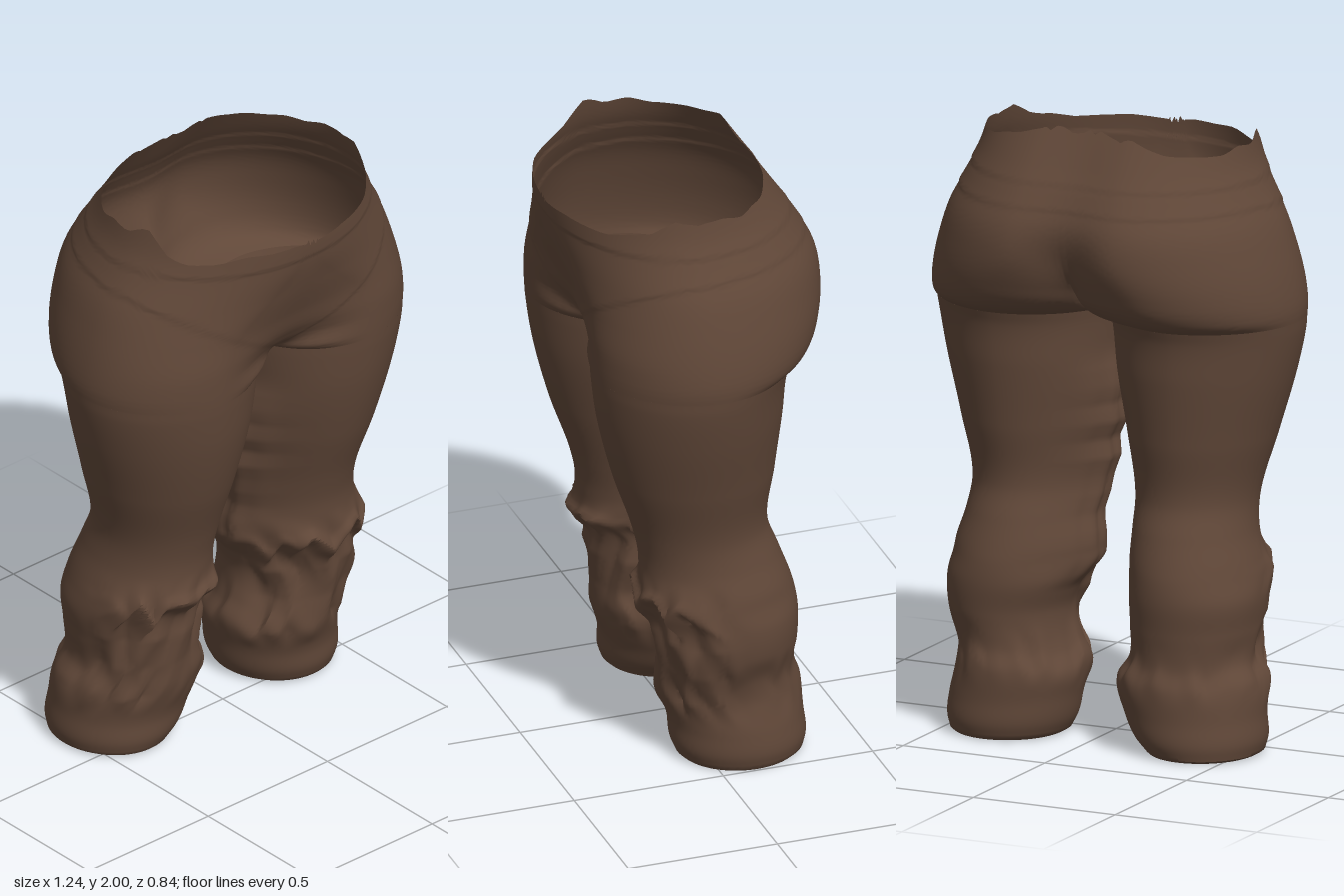
import * as THREE from 'three';
import { toCreasedNormals } from 'three/addons/utils/BufferGeometryUtils.js';

// Seeded ragged noise: straight zigzags between hashed values in -1..1, periodic over n steps
const hash = (i, seed) => {
  const s = Math.sin(i * 127.1 + seed * 311.7) * 43758.5453;
  return (s - Math.floor(s)) * 2 - 1;
};
const ragged = (t, n, seed) => {
  const f = t * n, i = Math.floor(f), k = f - i;
  return hash(((i % n) + n) % n, seed) * (1 - k) + hash((((i + 1) % n) + n) % n, seed) * k;
};
const smooth = THREE.MathUtils.smoothstep, lerp = THREE.MathUtils.lerp;

// Smooth interpolation through table rows whose first column is the height
function table(rows) {
  const lo = rows[0][0], hi = rows[rows.length - 1][0];
  const curve = new THREE.CubicInterpolant(
    rows.map(r => r[0]), new Float32Array(rows.flatMap(r => r.slice(1))), rows[0].length - 1);
  return y => Array.from(curve.evaluate(THREE.MathUtils.clamp(y, lo, hi)));
}

// Half outline seen from above: inner front, front bulge, outer side, back bulge, inner back.
// "join" turns the inner quarters from a closed leg into a soft bridge to the middle.
function section(p, t, y) {
  const q = t * 4, front = q < 2;
  const cx = front ? p.cxf : p.cxb, z = front ? p.zf : p.zb, zc = front ? p.zcf : p.zcb;
  if (q >= 1 && q <= 3) {
    const a = (q - 1) * Math.PI / 2;
    const bend = 1 + .12 * smooth(y, .6, 1.3);
    return [cx + (p.xo - cx) * Math.sin(a) ** bend, p.cz + Math.abs(z - p.cz) * Math.cos(a)];
  }
  const k = front ? 1 - q : q - 3, b = k * Math.PI / 2;
  const join = front ? p.joinFront : p.joinBack;
  const kx = lerp(Math.sin(b), k, join), kz = lerp(Math.cos(b), Math.cos(b) ** 2, join);
  return [cx + (p.xi - cx) * kx, zc + (z - zc) * kz];
}
const oval = (xo, xi, zf, zb) => {
  const cx = (xo + xi) / 2, cz = (zf + zb) / 2;
  return { xo, xi, cz, cxf: cx, cxb: cx, zf, zb, zcf: cz, zcb: cz, joinFront: 0, joinBack: 0 };
};

// Closed loft: point(u, j) gives a corner of ring j
function loft(point, nu, rings) {
  const pos = [], index = [];
  for (let j = 0; j < rings; j++) for (let i = 0; i < nu; i++) pos.push(...point(i / nu, j));
  for (let j = 0; j < rings - 1; j++) for (let i = 0; i < nu; i++) {
    const a = j * nu + i, b = j * nu + (i + 1) % nu;
    index.push(a, b, b + nu, a, b + nu, a + nu);
  }
  const g = new THREE.BufferGeometry();
  g.setAttribute('position', new THREE.Float32BufferAttribute(pos, 3));
  g.setIndex(index);
  return g;
}

const CROTCH = 1.38;

// Hips: height, outer x, front z, front centre z, back z, back centre z, bulge x front and back
const hipRow = table([
  [1.38, .618, .36, .04, -.28, .04, .309, .309],
  [1.4, .62, .361, .17, -.325, -.12, .309, .3],
  [1.43, .62, .362, .25, -.36, -.22, .308, .28],
  [1.5, .61, .363, .315, -.395, -.31, .3, .25],
  [1.6, .585, .363, .352, -.418, -.365, .25, .2],
  [1.7, .55, .383, .385, -.405, -.38, .14, .18],
  [1.8, .495, .408, .408, -.35, -.338, .05, .16],
  [1.88, .455, .415, .415, -.295, -.285, .03, .15],
  [2, .425, .41, .41, -.215, -.21, .03, .14],
]);

function hips() {
  const rings = 80;
  return loft((u, j) => {
    const side = u <= .5 ? 1 : -1, t = u <= .5 ? u * 2 : 2 - u * 2;
    // Torn waist edge, higher at the sides and back
    const spike = .03 * Math.max(0, 1 - Math.abs(t - .46) / .03);
    const edge = Math.min(2, 1.885 + .05 * smooth(t, .4, .48) + .05 * smooth(t, .62, .8) + spike
      + .013 * ragged(u, 60, 3));
    const y = CROTCH + (edge - CROTCH) * j / (rings - 1);
    const [xo, zf, zcf, zb, zcb, cxf, cxb] = hipRow(y);
    let [x, z] = section({
      xo, xi: 0, cz: .04, cxf, zf, zcf, cxb, zb, zcb,
      joinFront: smooth(y, CROTCH, 1.47), joinBack: smooth(y, CROTCH, 1.66),
    }, t, y);
    // Raised front panel and waistband
    const line = z > 0 ? Math.min(1.75, 1.43 + .6 * x) : 1.75;
    const grow = 1 + .01 * smooth(y, line, line + .012) + .01 * smooth(y, 1.825, 1.835);
    return [side * x * grow, y, z * grow];
  }, 200, rings);
}

// Legs: height, front z, back z, then outer and inner x of the right and the left leg
const legRow = table([
  [.01, .085, -.325, .56, .19, .5, .12],
  [.05, .1, -.335, .57, .15, .51, .1],
  [.12, .105, -.33, .565, .11, .505, .085],
  [.23, .135, -.322, .555, .075, .485, .07],
  [.29, .142, -.298, .52, .112, .49, .1],
  [.4, .15, -.3, .525, .115, .525, .12],
  [.5, .165, -.305, .535, .11, .53, .09],
  [.57, .228, -.295, .525, .1, .52, .085],
  [.61, .207, -.283, .512, .1, .512, .085],
  [.7, .2, -.25, .487, .1, .487, .095],
  [.8, .22, -.215, .48, .095, .48, .095],
  [1, .288, -.235, .53, .06, .53, .06],
  [1.2, .338, -.257, .585, .02, .585, .02],
  [1.34, .357, -.268, .614, .004, .614, .004],
  [1.38, .36, -.28, .618, 0, .618, 0],
]);

// Inside of the cuff down to the foot hole: height, share of the full outline
const cuffInside = [[.56, .97], [.46, .65], [.32, .2], [.12, 0], [.015, 0], [0, .2], [0, .85]];
const hole = oval(.445, .235, .005, -.21);

function leg(side) {
  const left = side > 0, outer = 130, n = cuffInside.length;
  return loft((u, j) => {
    const t = left ? u : 1 - u;
    const inside = j < n;
    const k = inside ? cuffInside[j][1] : 1;
    const y = inside ? cuffInside[j][0] : .01 + (CROTCH - .01) * (j - n) / (outer - 1);
    // Hem and cuff rim zigzag along the front, only the cuff rim at the back
    const front = smooth(Math.sin(t * Math.PI * 2), -.15, .4);
    const torn = smooth(y, .14, .24) * lerp(1 - smooth(y, .3, .42), 1 - smooth(y, .56, .68), front);
    const shift = torn * ragged(t, 34, left ? 11 : 17) * (.022 + .03 * front);
    const [zf, zb, xoR, xiR, xoL, xiL] = legRow(y + shift);
    const p = left ? oval(xoL, xiL, zf, zb) : oval(xoR, xiR, zf, zb);
    let [x, z] = section(p, t, y);
    // Crumpled cloth below the hem
    const step = Math.floor(y * 9);
    const fold = lerp(ragged(t + y * .25, 26, step), ragged(t + y * .25, 26, step + 1), y * 9 - step);
    const g = 1 + torn * (.012 + .065 * front) * fold;
    x = p.cxf + (x - p.cxf) * g;
    z = p.cz + (z - p.cz) * g;
    // Ragged flap on the inner side of the left leg
    if (left) {
      const d = Math.min(t, 1 - t) / .09;
      const zone = smooth(y, .47, .58) * (1 - smooth(y, 1.02, 1.27));
      x -= Math.exp(-d * d) * zone * (.066 + .022 * ragged(y, 17, 5) + .012 * ragged(t, 40, 8));
    }
    const [hx, hz] = section(hole, t, 0);
    return [side * (hx + (x - hx) * k), y, hz + (z - hz) * k];
  }, 128, outer + n);
}

export function createModel() {
  const model = new THREE.Group();
  model.name = 'tornTrousers';
  const cloth = new THREE.MeshStandardMaterial({ color: 0x604738, side: THREE.DoubleSide });
  cloth.name = 'brownCloth';
  const add = (name, geometry) => {
    const mesh = new THREE.Mesh(toCreasedNormals(geometry, .8), cloth);
    mesh.name = name;
    model.add(mesh);
  };
  add('hips', hips());
  add('leftLeg', leg(1));
  add('rightLeg', leg(-1));
  return model;
}
